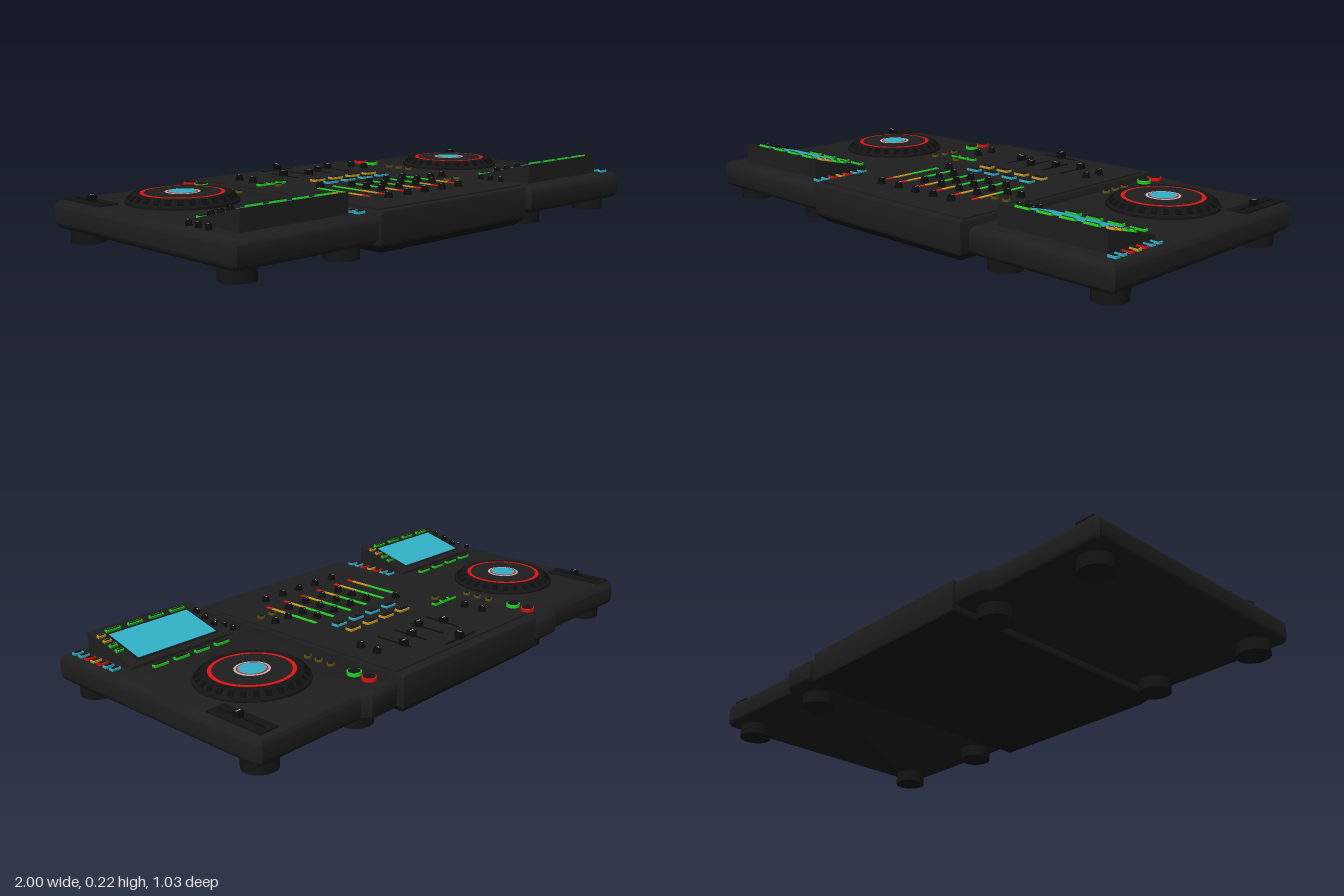
import * as THREE from 'three';
import { toCreasedNormals } from 'three/addons/utils/BufferGeometryUtils.js';

const C = {
  body: 0x1e1e1e, dark: 0x141414, black: 0x0c0c0c, silver: 0xb8b8b8,
  red: 0xe01212, green: 0x1fd41f, yellow: 0xc89b1c, cyan: 0x32b0c6, dimYellow: 0x5c5010,
};
const mats = {};
const mat = (c) => (mats[c] ??= new THREE.MeshStandardMaterial({ color: C[c] }));

function add(parent, name, geo, color, x = 0, y = 0, z = 0) {
  const m = new THREE.Mesh(geo, mat(color));
  m.name = name;
  m.position.set(x, y, z);
  parent.add(m);
  return m;
}

// Box and disc standing on height y
const box = (p, name, color, x, y, z, w, h, d) =>
  add(p, name, new THREE.BoxGeometry(w, h, d), color, x, y + h / 2, z);
const disc = (p, name, color, x, y, z, r, h, top = r, n = 24) =>
  add(p, name, new THREE.CylinderGeometry(top, r, h, n), color, x, y + h / 2, z);

// Plan outline [x, z] raised from y0 to y1 with rounded rims
function slab(p, name, color, outline, y0, y1, bevel, segments) {
  const shape = new THREE.Shape(outline.map(([x, z]) => new THREE.Vector2(x, -z)));
  const geo = new THREE.ExtrudeGeometry(shape, {
    depth: y1 - y0 - 2 * bevel, bevelThickness: bevel, bevelSize: bevel,
    bevelOffset: -bevel, bevelSegments: segments,
  });
  geo.translate(0, 0, bevel).rotateX(-Math.PI / 2);
  return add(p, name, toCreasedNormals(geo, 0.6), color, 0, y0, 0);
}

// Dark key with a lit rim
function key(p, color, x, y, z, w, d, h = 0.008) {
  box(p, 'keyRim', color, x, y, z, w, h, d);
  box(p, 'keyCap', 'dark', x, y, z, w - 0.008, h + 0.002, d - 0.008);
}
function roundKey(p, color, x, y, z, r, h = 0.008) {
  disc(p, 'roundKeyRim', color, x, y, z, r, h);
  disc(p, 'roundKeyCap', 'dark', x, y, z, r - 0.005, h + 0.002);
}
function knob(p, x, y, z, r = 0.016, h = 0.02) {
  disc(p, 'knob', 'black', x, y, z, r, h, r * 0.7, 16);
  box(p, 'knobMark', 'silver', x, y + h, z - r * 0.3, 0.003, 0.001, r * 0.6);
}
function fader(p, x, y, z, slotZ, length) {
  box(p, 'faderSlot', 'black', x, y, slotZ, 0.008, 0.002, length);
  box(p, 'faderCap', 'black', x, y, z, 0.022, 0.02, 0.028);
  box(p, 'faderMark', 'silver', x, y + 0.02, z, 0.018, 0.001, 0.004);
}

function jogWheel(p, y, z) {
  const g = new THREE.Group();
  g.name = 'jogWheel';
  g.position.set(0, y, z);
  p.add(g);
  const profile = [[0, 0], [0.197, 0], [0.197, 0.008], [0.186, 0.016], [0.168, 0.032], [0, 0.032]];
  const geo = new THREE.LatheGeometry(profile.map(([r, h]) => new THREE.Vector2(r, h)), 64);
  add(g, 'platter', toCreasedNormals(geo, 0.4), 'dark');
  // Finger grips around the slope
  for (let i = 0; i < 28; i++) {
    const a = (i / 28) * Math.PI * 2;
    const grip = box(g, 'grip', 'black', Math.cos(a) * 0.178, 0.017, Math.sin(a) * 0.178, 0.022, 0.008, 0.02);
    grip.rotation.set(0, -a, -0.72, 'YXZ');
  }
  disc(g, 'redRing', 'red', 0, 0.03, 0, 0.146, 0.003, 0.146, 64);
  disc(g, 'platterTop', 'body', 0, 0.03, 0, 0.132, 0.004, 0.132, 64);
  disc(g, 'hubRim', 'silver', 0, 0.03, 0, 0.061, 0.005, 0.061, 48);
  disc(g, 'hubRing', 'red', 0, 0.03, 0, 0.053, 0.0055, 0.053, 48);
  disc(g, 'hubDisplay', 'cyan', 0, 0.03, 0, 0.048, 0.0065, 0.048, 48);
}

function displayUnit(p) {
  // Wedge housing, high at the front
  const side = new THREE.Shape([[0.445, 0.14], [0.445, 0.22], [0.205, 0.157], [0.205, 0.14]]
    .map(([z, y]) => new THREE.Vector2(-z, y)));
  const geo = new THREE.ExtrudeGeometry(side, { depth: 0.446, bevelEnabled: false });
  geo.rotateY(Math.PI / 2);
  add(p, 'displayHousing', geo, 'body', -0.225);
  // Parts lying on the slope
  const g = new THREE.Group();
  g.name = 'displayFace';
  g.position.set(0, 0.1885, 0.325);
  g.rotation.x = -Math.atan2(0.063, 0.24);
  p.add(g);
  box(g, 'screenBezel', 'dark', -0.003, 0, -0.008, 0.355, 0.002, 0.18);
  box(g, 'screen', 'cyan', -0.003, 0, -0.009, 0.342, 0.004, 0.165);
  for (let i = 0; i < 4; i++) {
    key(g, 'green', -0.145 + i * 0.094, 0, 0.094, 0.06, 0.013);
    key(g, i < 2 ? 'green' : 'yellow', 0.198, 0, -0.025 + i * 0.034, 0.03, 0.013);
  }
  for (const z of [-0.05, 0, 0.05]) knob(g, -0.2, 0, z, 0.014, 0.014);
}

// One player; m is +1 when the inner edge is on local +x, -1 when it is on -x
function player(name, x, m) {
  const g = new THREE.Group();
  g.name = name;
  g.position.x = x;
  const top = 0.147;
  const outline = [[-0.3, 0.505], [-0.29, 0.512], [0.29, 0.512], [0.3, 0.5], [0.3, -0.508],
    [0.288, -0.515], [0.17, -0.515], [0.145, -0.488], [-0.285, -0.49], [-0.3, -0.478]];
  slab(g, 'playerBody', 'body', outline.map(([a, z]) => [a * m, z]), 0.045, top, 0.03, 5);
  for (const fx of [-0.215, 0.215]) for (const fz of [0.418, -0.402])
    disc(g, 'foot', 'dark', fx, 0, fz, 0.061, 0.055, 0.061, 32);
  jogWheel(g, top, -0.143);
  displayUnit(g);

  // Pitch slider and transport keys
  box(g, 'pitchPanel', 'dark', -0.237 * m, top, -0.353, 0.075, 0.006, 0.24);
  fader(g, -0.237 * m, top + 0.006, -0.338, -0.353, 0.2);
  roundKey(g, 'red', 0.247 * m, top, -0.433, 0.026, 0.012);
  roundKey(g, 'green', 0.247 * m, top, -0.367, 0.026, 0.012);
  for (const z of [-0.255, -0.2, -0.148]) roundKey(g, 'dimYellow', 0.252 * m, top, z, 0.014);

  // Key row behind the display, pad column and small knobs beside it
  for (let i = 0; i < 4; i++) key(g, 'green', -0.14 + i * 0.09, top, 0.168, 0.058, 0.018);
  ['cyan', 'cyan', 'red', 'yellow', 'red', 'cyan', 'cyan'].forEach((c, i) =>
    key(g, c, 0.256, top, 0.25 + i * 0.035, 0.034, 0.02));
  for (const z of [0.24, 0.29, 0.34]) knob(g, -0.258, top, z, 0.012, 0.018);
  return g;
}

function mixer() {
  const g = new THREE.Group();
  g.name = 'mixer';
  g.position.x = -0.0125;
  const rect = (w, d) => [[-w, d], [w, d], [w, -d], [-w, -d]];
  slab(g, 'mixerBase', 'dark', rect(0.381, 0.51), 0.01, 0.12, 0.027, 1);
  slab(g, 'mixerBody', 'body', rect(0.383, 0.512), 0.036, 0.155, 0.008, 3);
  box(g, 'mixerPanel', 'body', 0, 0.15, 0.01, 0.755, 0.01, 0.965);
  const y = 0.16;
  const p = new THREE.Group();
  p.name = 'mixerControls';
  p.position.x = 0.0125;
  g.add(p);

  // Level meters
  for (const x of [-0.235, -0.16, -0.06, 0.03, 0.122, 0.215]) {
    box(p, 'meterGreen', 'green', x, y, 0.11, 0.013, 0.003, 0.14);
    box(p, 'meterYellow', 'yellow', x, y, 0.224, 0.013, 0.003, 0.088);
    box(p, 'meterRed', 'red', x, y, 0.284, 0.013, 0.003, 0.032);
  }
  // Channel strips
  const faderZ = [-0.3, -0.255, -0.3, -0.34];
  for (let i = 0; i < 4; i++) {
    const x = -0.105 + i * 0.091;
    for (const z of [0.08, 0.155, 0.23, 0.357]) knob(p, x, y, z);
    key(p, 'yellow', x, y, -0.102, 0.052, 0.03);
    key(p, 'cyan', x, y, -0.033, 0.052, 0.03);
    fader(p, x, y, faderZ[i], -0.295, 0.15);
  }
  // Crossfader
  box(p, 'crossfaderSlot', 'black', -0.015, y, -0.445, 0.17, 0.002, 0.008);
  box(p, 'crossfaderCap', 'black', -0.015, y, -0.442, 0.024, 0.025, 0.026);
  box(p, 'crossfaderMark', 'silver', -0.015, y + 0.025, -0.442, 0.004, 0.001, 0.02);
  // Outer knobs and keys
  for (const [x, z] of [[-0.3, -0.33], [-0.3, -0.25], [0.28, -0.315], [0.28, -0.24],
    [-0.2, 0.012], [-0.2, 0.357], [0.245, 0.155], [0.31, 0.155]]) knob(p, x, y, z);
  for (const x of [-0.335, -0.29, -0.245]) key(p, 'green', x, y, -0.157, 0.036, 0.02);
  for (const [x, z] of [[-0.29, -0.113], [0.255, 0.23], [0.31, 0.23]]) roundKey(p, 'dimYellow', x, y, z, 0.014);
  return g;
}

export function createModel() {
  const model = new THREE.Group();
  model.name = 'djSetup';
  model.add(player('rightPlayer', -0.7, 1), mixer(), player('leftPlayer', 0.7, -1));
  return model;
}
